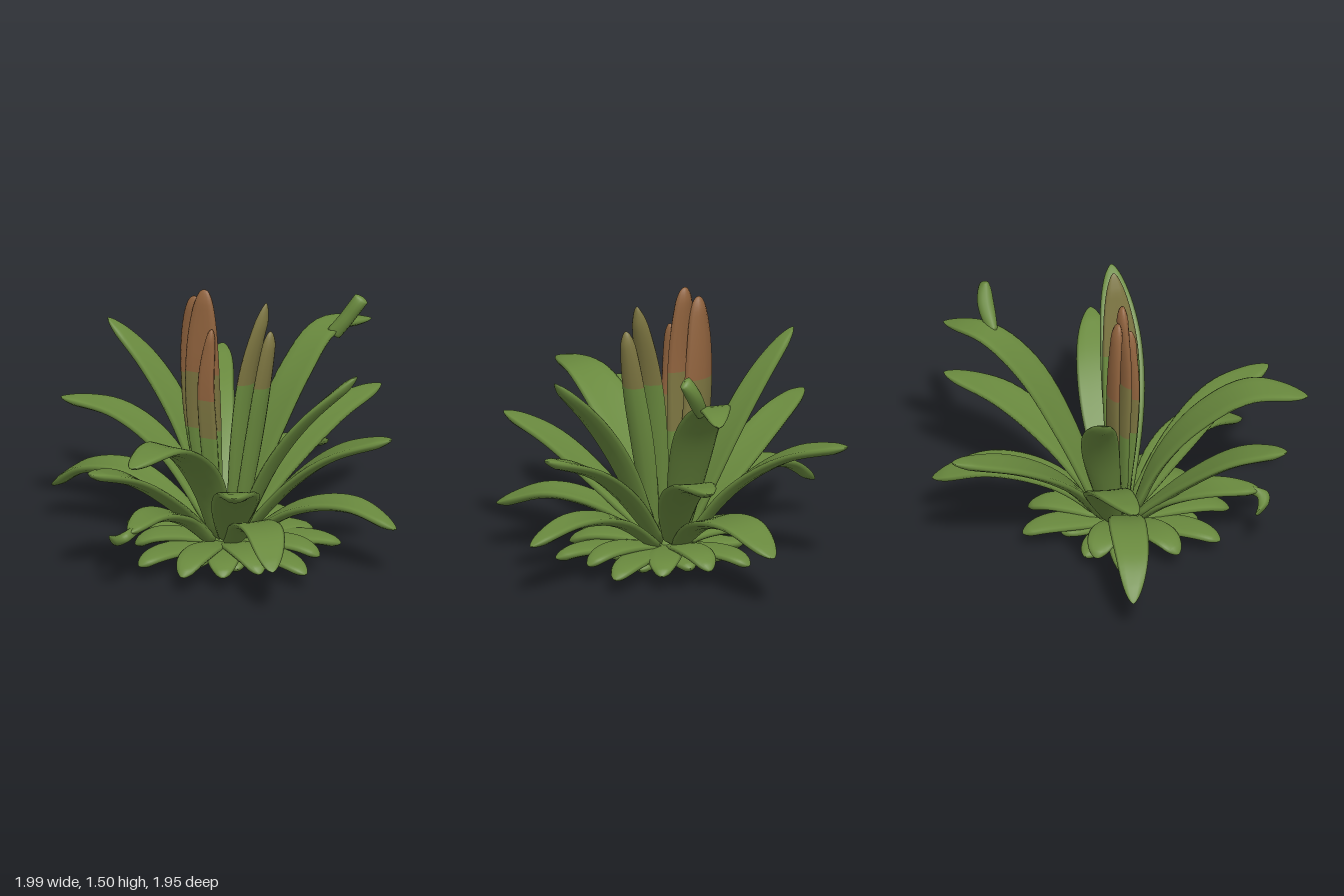
import * as THREE from 'three';

const material = (name, color) => new THREE.MeshStandardMaterial({ name, color });

export function createModel() {
  const plant = new THREE.Group();
  plant.name = 'plant';
  const green = material('leaf green', 0x69893e);
  const olive = material('faded olive', 0x7b7440);
  const brown = material('withered brown', 0x8f623d);
  const mats = [green, olive, brown];

  // Width along the blade: slim root, broad middle, tip from blunt (0.4) to pointed (1)
  const outline = (s, root, point) => {
    const grow = root + (1 - root) * Math.sin(Math.min(1, s / 0.55) * Math.PI / 2);
    const tip = s > 0.55 ? Math.max(0, 1 - ((s - 0.55) / 0.45) ** 2.1) ** point : 1;
    return s === 0 ? 0.02 : Math.max(0.02, grow * tip);
  };

  // Sweeps a cupped oval section along a path; facing is the lengthwise heading.
  // bands lists [height, material index] for blades that change colour.
  function leaf(name, points, half, { thick = 0.026, cup = 0.024, root = 0.35, point = 0.62, facing, bands = [] } = {}) {
    const curve = new THREE.CatmullRomCurve3(points.map(p => new THREE.Vector3(...p)));
    const rows = 28, sides = 12, pos = [], index = [];
    const first = curve.getPoint(0), last = curve.getPoint(1);
    const heading = facing ? new THREE.Vector3(...facing) : last.clone().sub(first).setY(0).normalize();
    const across = new THREE.Vector3(0, 1, 0).cross(heading).normalize();
    const geo = new THREE.BufferGeometry();
    for (let i = 0; i <= rows; i++) {
      // rows crowd toward the tip so it stays round
      const s = Math.sin(i / rows * Math.PI / 2);
      const c = curve.getPointAt(s), t = curve.getTangentAt(s);
      const n = t.clone().cross(across).normalize();
      const f = outline(s, root, point), h = thick * Math.min(1, f * 2);
      for (let j = 0; j < sides; j++) {
        const a = j / sides * Math.PI * 2, x = Math.cos(a);
        const p = c.clone().addScaledVector(across, x * half * f)
          .addScaledVector(n, Math.sin(a) * h + cup * f * (x * x - 0.5));
        pos.push(p.x, p.y, p.z);
      }
      if (i === rows) break;
      let m = 0;
      for (const [y, k] of bands) if (c.y > y) m = k;
      geo.addGroup(index.length, sides * 6, m);
      for (let j = 0; j < sides; j++) {
        const k = (j + 1) % sides, a = i * sides, b = a + sides;
        index.push(a + j, a + k, b + k, a + j, b + k, b + j);
      }
    }
    geo.setAttribute('position', new THREE.Float32BufferAttribute(pos, 3));
    geo.setIndex(index);
    geo.computeVertexNormals();
    if (!bands.length) geo.clearGroups();
    const mesh = new THREE.Mesh(geo, bands.length ? mats : green);
    mesh.name = name;
    plant.add(mesh);
  }

  // Arching side leaves
  leaf('leftTallLeaf', [[0.08, 0.12, 0.02], [0.3, 0.6, 0.05], [0.5, 0.89, 0.06], [0.78, 1.17, 0.05]], 0.115);
  leaf('leftMiddleLeaf', [[0.08, 0.12, -0.03], [0.38, 0.48, -0.05], [0.62, 0.67, -0.05], [0.94, 0.8, -0.04]], 0.115);
  leaf('leftLowLeaf', [[0.08, 0.1, -0.02], [0.42, 0.34, -0.03], [0.72, 0.4, -0.02], [0.99, 0.32, 0.02]], 0.1);
  leaf('rightTallLeaf', [[-0.06, 0.12, -0.06], [-0.3, 0.68, -0.15], [-0.5, 0.96, -0.18], [-0.73, 1.17, -0.19]], 0.1);
  leaf('rightMiddleLeaf', [[-0.07, 0.12, -0.05], [-0.38, 0.5, -0.14], [-0.65, 0.68, -0.13], [-0.94, 0.74, -0.05]], 0.115);
  leaf('rightLowLeaf', [[-0.07, 0.1, 0], [-0.3, 0.29, -0.02], [-0.55, 0.4, -0.04], [-0.8, 0.37, -0.05], [-1, 0.22, -0.07]], 0.1);

  // Front leaves
  leaf('frontLeaf', [[0, 0.12, 0.06], [0, 0.44, 0.2], [-0.02, 0.7, 0.41], [-0.06, 0.87, 0.68], [-0.13, 0.86, 0.97]], 0.14);
  leaf('frontRightLeaf', [[-0.04, 0.12, 0.06], [-0.17, 0.41, 0.32], [-0.3, 0.62, 0.57], [-0.43, 0.72, 0.82]], 0.115);
  leaf('frontLeftLeaf', [[0.05, 0.12, 0.06], [0.19, 0.41, 0.32], [0.31, 0.62, 0.57], [0.4, 0.72, 0.83]], 0.125);
  leaf('frontLeftLowLeaf', [[0.06, 0.1, 0.06], [0.24, 0.31, 0.24], [0.42, 0.38, 0.46], [0.57, 0.28, 0.71]], 0.11);
  leaf('curledFrontLeaf', [[-0.03, 0.1, 0.06], [-0.13, 0.29, 0.24], [-0.21, 0.38, 0.45], [-0.25, 0.37, 0.7]], 0.1);
  leaf('frontCurl', [[-0.23, 0.37, 0.62], [-0.26, 0.35, 0.71], [-0.31, 0.32, 0.71], [-0.37, 0.3, 0.67]], 0.035,
    { thick: 0.028, cup: 0, root: 0.7, point: 0.5 });

  // Back leaves
  leaf('backRightLeaf', [[-0.05, 0.12, -0.08], [-0.18, 0.46, -0.32], [-0.3, 0.67, -0.6], [-0.39, 0.78, -0.95]], 0.115);
  leaf('backLowLeaf', [[0.02, 0.1, -0.08], [0.08, 0.32, -0.35], [0.13, 0.4, -0.68], [0.18, 0.31, -0.98]], 0.13);
  leaf('backLeftLeaf', [[0.05, 0.12, -0.08], [0.23, 0.46, -0.32], [0.39, 0.66, -0.58], [0.54, 0.73, -0.87]], 0.12);
  leaf('curledBackLeaf', [[0.03, 0.12, -0.1], [0.13, 0.58, -0.28], [0.23, 0.92, -0.47], [0.32, 1.1, -0.67], [0.48, 1.09, -0.88]], 0.12);
  leaf('backCurl', [[0.36, 1.07, -0.63], [0.42, 1.15, -0.65], [0.46, 1.21, -0.66], [0.52, 1.3, -0.66]], 0.045,
    { thick: 0.04, cup: 0, root: 0.5, point: 0.4 });

  // Upright withered leaves on the right, broad side forward
  const dry = [[0.68, 1], [0.99, 2]];
  const ahead = { facing: [0, 0, -1], bands: dry, thick: 0.03, cup: 0.02, point: 0.45 };
  leaf('witheredTallLeaf', [[-0.04, 0.12, 0], [-0.1, 0.7, 0], [-0.11, 1.1, 0.01], [-0.11, 1.5, -0.01]], 0.1, ahead);
  leaf('witheredSideLeaf', [[-0.05, 0.12, -0.02], [-0.14, 0.7, -0.06], [-0.17, 1.1, -0.06], [-0.18, 1.44, -0.04]], 0.1, ahead);
  leaf('witheredSmallLeaf', [[-0.03, 0.12, 0], [-0.06, 0.7, 0.05], [-0.07, 1, 0.06], [-0.05, 1.3, 0.04]], 0.05,
    { ...ahead, bands: [[0.68, 1], [0.9, 2]] });

  // Upright fading leaves on the left, edge forward
  const aside = { facing: [1, 0, 0], bands: [[0.99, 1]], thick: 0.032, cup: 0.03 };
  leaf('fadedTallLeaf', [[0.05, 0.12, 0], [0.1, 0.7, 0.01], [0.15, 1.1, 0.01], [0.24, 1.48, -0.01]], 0.1, aside);
  leaf('fadedShortLeaf', [[0.08, 0.12, 0.02], [0.18, 0.7, 0.02], [0.23, 1, 0.03], [0.28, 1.34, 0.03]], 0.085, { ...aside, point: 0.5 });

  // Flat rosette at ground level: [degrees from +x toward +z, length]
  const rosette = [[-19, 0.62], [3, 0.56], [24, 0.63], [46, 0.52], [68, 0.5], [90, 0.57], [120, 0.56],
    [148, 0.47], [184, 0.56], [206, 0.42], [262, 0.54], [288, 0.5], [318, 0.5]];
  rosette.forEach(([deg, len], i) => {
    const a = deg * Math.PI / 180, lift = (i % 2) * 0.025;
    leaf('rosetteLeaf', [[0.04, 0.08], [0.5, 0.12 + lift], [0.8, 0.12 + lift], [1, 0.09 + lift / 2]]
      .map(([r, y]) => [Math.cos(a) * r * len, y, Math.sin(a) * r * len]), 0.09, { cup: 0.012, root: 0.5, point: 0.6 });
  });
  // Short leaves underneath
  for (let i = 0; i < 9; i++) {
    const a = (i + 0.4) / 9 * Math.PI * 2, len = 0.34 + (i % 3) * 0.03;
    leaf('underLeaf', [[0.05, 0.05], [0.5, 0.09], [1, 0.08]]
      .map(([r, y]) => [Math.cos(a) * r * len, y, Math.sin(a) * r * len]), 0.08, { cup: 0.01, root: 0.5 });
  }

  // Root crown
  const crown = new THREE.Mesh(new THREE.LatheGeometry(
    [[0, 0], [0.04, 0.01], [0.08, 0.05], [0.09, 0.1], [0.05, 0.13], [0, 0.13]].map(p => new THREE.Vector2(...p)), 16), green);
  crown.name = 'rootCrown';
  plant.add(crown);
  return plant;
}
